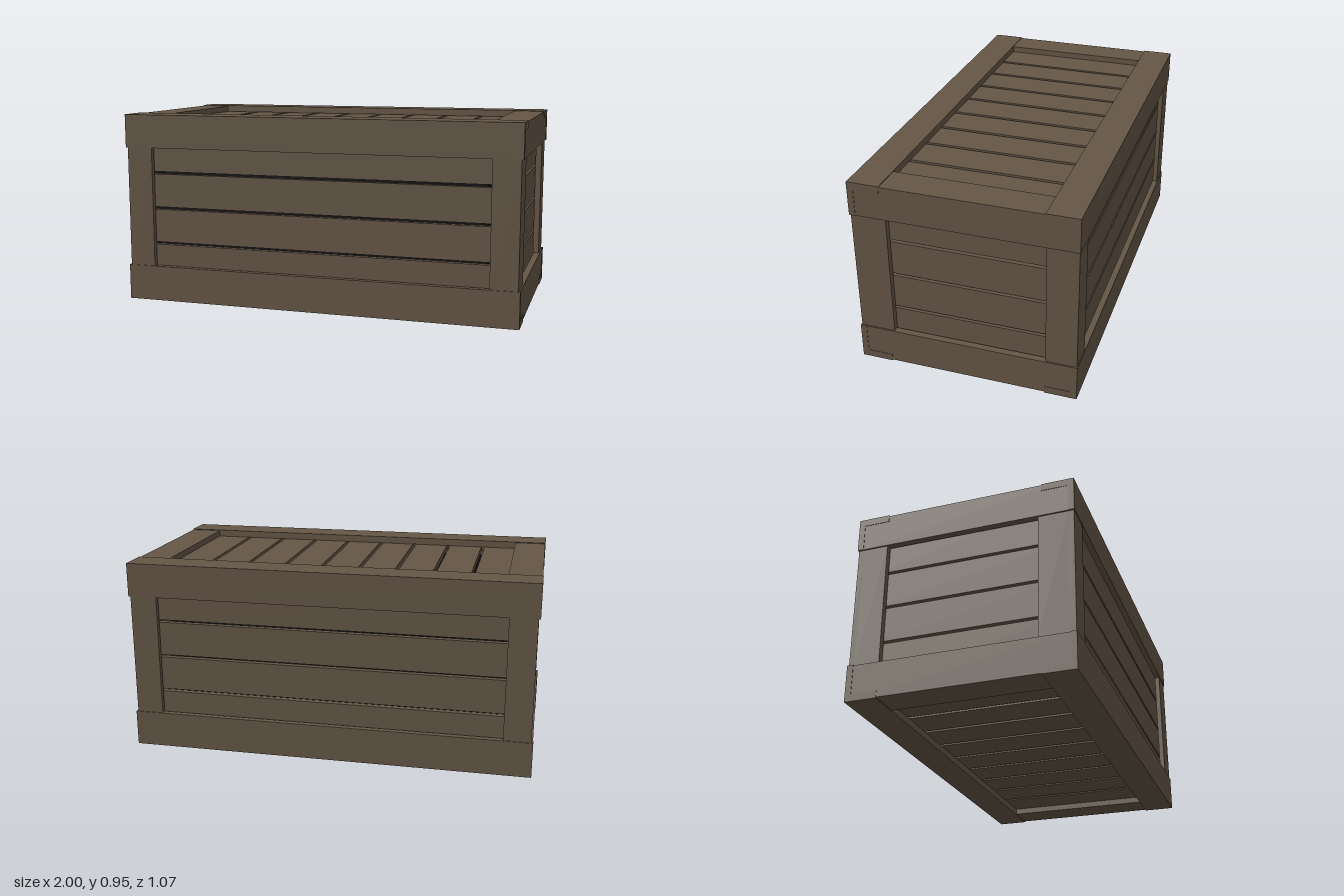
import * as THREE from 'three';

const wood = new THREE.MeshStandardMaterial({ color: 0x665747 });
const dark = new THREE.MeshStandardMaterial({ color: 0x0c0c0c });

// Box given by its lower and upper limits on each axis
function board(parent, name, [x0, x1], [y0, y1], [z0, z1], material = wood) {
  const mesh = new THREE.Mesh(new THREE.BoxGeometry(x1 - x0, y1 - y0, z1 - z0), material);
  mesh.position.set((x0 + x1) / 2, (y0 + y1) / 2, (z0 + z1) / 2);
  mesh.name = name;
  parent.add(mesh);
}

// Range mirrored to the chosen side of zero
const side = (s, a, b) => (s > 0 ? [a, b] : [-b, -a]);

// Splits a span into slat ranges separated by gaps
function slatRanges(start, end, gapCentres, gap) {
  const edges = [start, ...gapCentres.flatMap((c) => [c - gap / 2, c + gap / 2]), end];
  const ranges = [];
  for (let i = 0; i < edges.length; i += 2) ranges.push([edges[i], edges[i + 1]]);
  return ranges;
}

export function createModel() {
  const crate = new THREE.Group();
  crate.name = 'crate';
  const frame = new THREE.Group();
  frame.name = 'frame';
  const slats = new THREE.Group();
  slats.name = 'slats';
  crate.add(frame, slats);

  // Rails around the top and bottom edges
  const levels = [
    { name: 'top', rail: [0.785, 0.952], endRail: [0.785, 0.948], flat: [0.917, 0.952], endFlat: [0.917, 0.948] },
    { name: 'bottom', rail: [0, 0.178], endRail: [0.004, 0.176], flat: [0, 0.035], endFlat: [0.004, 0.035] },
  ];
  for (const level of levels) {
    for (const s of [1, -1]) {
      board(frame, level.name + 'LongRail', [-1, 1], level.rail, side(s, 0.505, 0.535));
      board(frame, level.name + 'LongFlatBoard', [-1, 1], level.flat, side(s, 0.38, 0.505));
      board(frame, level.name + 'EndRail', side(s, 0.965, 0.998), level.endRail, [-0.505, 0.505]);
      board(frame, level.name + 'EndFlatBoard', side(s, 0.84, 0.998), level.endFlat, [-0.38, 0.38]);
    }
  }

  // Corner posts, each made of two boards
  for (const sx of [1, -1]) {
    for (const sz of [1, -1]) {
      board(frame, 'longSidePost', side(sx, 0.858, 0.991), [0.178, 0.785], side(sz, 0.505, 0.531));
      board(frame, 'endPost', side(sx, 0.96, 0.991), [0.176, 0.785], side(sz, sz > 0 ? 0.362 : 0.383, 0.505));
    }
  }

  // Horizontal slats on the four walls
  for (const y of slatRanges(0.07, 0.88, [0.292, 0.474, 0.656], 0.013)) {
    for (const s of [1, -1]) {
      board(slats, 'longSideSlat', [-0.955, 0.955], y, side(s, 0.465, 0.495));
      board(slats, 'endSlat', side(s, 0.925, 0.955), y, [-0.465, 0.465]);
    }
  }

  // Cross slats on lid and floor
  const gaps = [-0.666, -0.478, -0.29, -0.103, 0.085, 0.274, 0.465, 0.66];
  for (const x of slatRanges(-0.955, 0.955, gaps, 0.018)) {
    board(slats, 'lidSlat', x, [0.885, 0.915], [-0.465, 0.465]);
    board(slats, 'floorSlat', x, [0.037, 0.067], [-0.465, 0.465]);
  }

  // Dark core behind the slats
  board(crate, 'darkInterior', [-0.89, 0.83], [0.09, 0.86], [-0.44, 0.44], dark);
  return crate;
}
